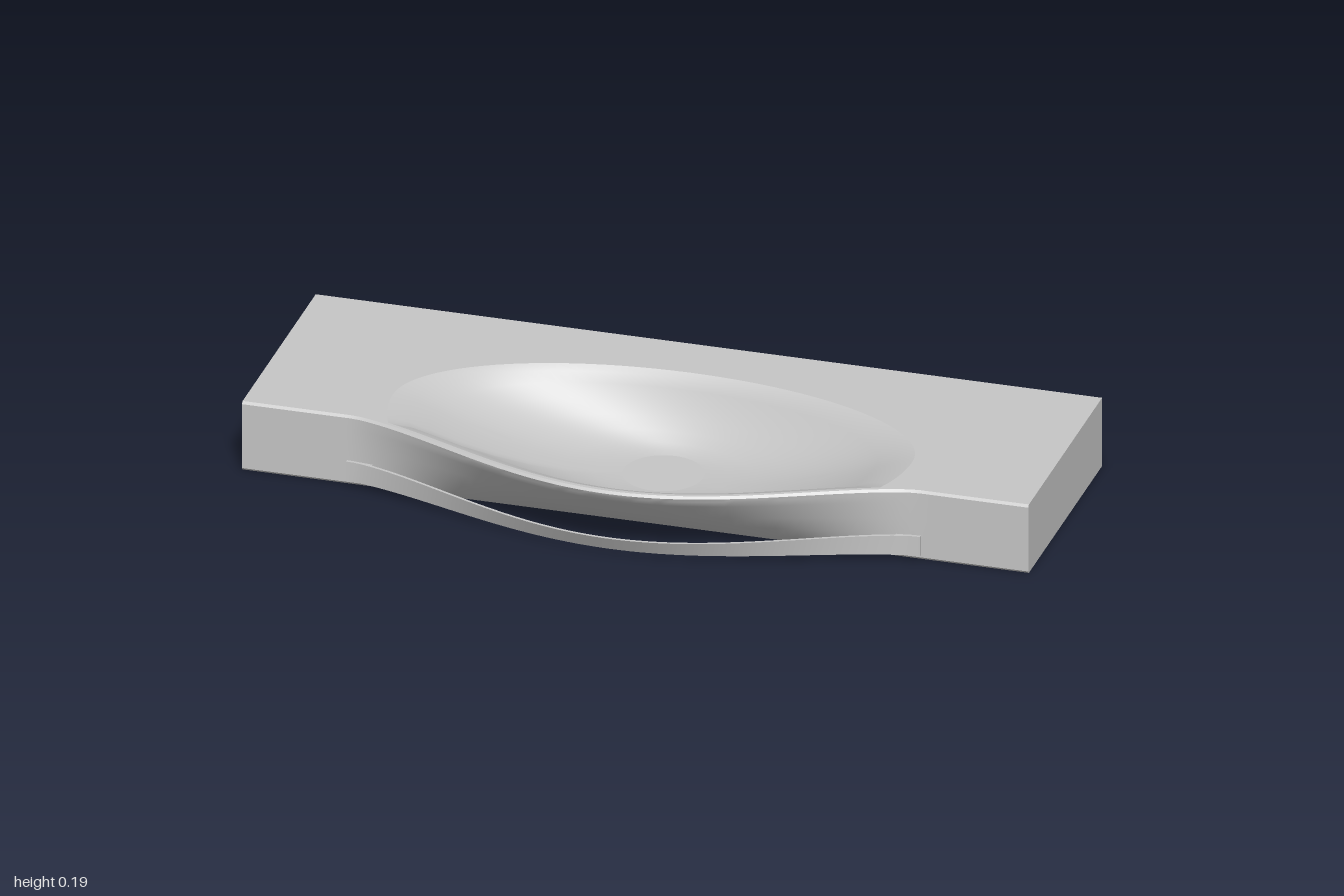
import * as THREE from 'three';
import { toCreasedNormals } from 'three/addons/utils/BufferGeometryUtils.js';

const H = 0.185, BACK = -0.425, FRONT = 0.2;

// 0..1 swell of the front edge across the width
const swell = (x) => (Math.abs(x) >= 0.72 ? 0 : Math.pow((1 + Math.cos((Math.PI * x) / 0.72)) / 2, 0.7));
const frontZ = (x) => FRONT + 0.222 * swell(x);

// Surface through a grid of points; the normal points along di x dj
function grid(ni, nj, point, crease = 0.6) {
  const pos = [], index = [];
  for (let i = 0; i <= ni; i++) for (let j = 0; j <= nj; j++) pos.push(...point(i, j));
  for (let i = 0; i < ni; i++) {
    for (let j = 0; j < nj; j++) {
      const a = i * (nj + 1) + j, b = a + nj + 1;
      index.push(a, b, b + 1, a, b + 1, a + 1);
    }
  }
  const g = new THREE.BufferGeometry();
  g.setAttribute('position', new THREE.Float32BufferAttribute(pos, 3));
  g.setIndex(index);
  return toCreasedNormals(g, crease);
}

// Bowl rim: half ellipse at the back, following the front edge at the front
function rim(a) {
  const x = 0.66 * Math.cos(a), s = Math.sin(a);
  const z = s >= 0 ? 0.05 - 0.32 * s : Math.min(0.05 - 0.5 * s, frontZ(x) - 0.016);
  return [x, z];
}

export function createModel() {
  const group = new THREE.Group();
  const ceramic = new THREE.MeshStandardMaterial({ color: 0xc6c6c6 });
  ceramic.name = 'grey ceramic';
  const add = (name, geometry) => {
    const mesh = new THREE.Mesh(geometry, ceramic);
    mesh.name = name;
    group.add(mesh);
    return mesh;
  };

  // Back, underside and swelling front: [y, swell share, inset]
  const profile = [
    [0, 0, 0.005], [0.006, 0.03, 0], [0.03, 0.23, 0], [0.063, 0.455, 0], [0.105, 0.7, 0],
    [0.15, 0.89, 0], [0.17, 0.985, 0], [0.179, 1, 0], [H, 1, 0.006],
  ];
  const N = 80;
  const xAt = (i) => -1 + (2 * i) / N;
  add('basinBody', grid(N, profile.length + 1, (i, j) => {
    const x = xAt(i);
    if (j < 2) return [x, j === 0 ? H : 0, BACK];
    const [y, share, inset] = profile[j - 2];
    return [x, y, FRONT + (frontZ(x) - FRONT) * share - inset];
  }));

  // Flat ends of the slab
  for (const side of [-1, 1]) {
    const end = add(side > 0 ? 'leftEnd' : 'rightEnd', new THREE.PlaneGeometry(FRONT - BACK, H));
    end.rotation.y = (side * Math.PI) / 2;
    end.position.set(side, H / 2, (FRONT + BACK) / 2);
  }

  // Countertop with the bowl cut out
  const M = 96;
  const outline = [new THREE.Vector2(-1, -BACK), new THREE.Vector2(1, -BACK)];
  for (let i = N; i >= 0; i--) outline.push(new THREE.Vector2(xAt(i), -(frontZ(xAt(i)) - 0.006)));
  const top = new THREE.Shape(outline);
  const hole = [];
  for (let j = 0; j < M; j++) {
    const [x, z] = rim((j / M) * Math.PI * 2);
    hole.push(new THREE.Vector2(x, -z));
  }
  top.holes.push(new THREE.Path(hole));
  const counter = add('countertop', new THREE.ShapeGeometry(top));
  counter.rotation.x = -Math.PI / 2;
  counter.position.y = H;

  // Bowl lofted from the round floor out to the rim: [share, y]
  const bowl = [
    [0, 0.02], [0.12, 0.025], [0.25, 0.037], [0.4, 0.058], [0.55, 0.085],
    [0.7, 0.117], [0.82, 0.148], [0.91, 0.172], [1, H],
  ];
  add('bowl', grid(bowl.length - 1, M, (i, j) => {
    const a = ((j % M) / M) * Math.PI * 2, [t, y] = bowl[i], [rx, rz] = rim(a);
    return [
      THREE.MathUtils.lerp(0.1 * Math.cos(a), rx, t), y,
      THREE.MathUtils.lerp(-0.04 - 0.1 * Math.sin(a), rz, t),
    ];
  }, 0.8));
  const floor = add('bowlFloor', new THREE.CircleGeometry(0.1, M));
  floor.rotation.x = -Math.PI / 2;
  floor.position.set(0, 0.02, -0.04);

  // Thin towel rail bowed out below the front edge, closed at both ends
  const R = 64, T = 0.008;
  add('towelRail', grid(R + 2, 4, (i, j) => {
    const k = THREE.MathUtils.clamp(i - 1, 0, R);
    const x = -0.73 + (1.46 * k) / R, s = swell(x);
    const yTop = 0.07 - 0.015 * s;
    if (i === 0 || i === R + 2) return [x, 0.0435, 0.214];
    const upper = j === 1 || j === 2, rear = j === 2 || j === 3;
    return [x, upper ? yTop : 0.017, 0.218 + (upper ? 0.198 : 0.176) * s - (rear ? T : 0)];
  }));

  // Small mounts joining the rail to the slab
  for (const side of [-1, 1]) {
    const mount = add('railMount', new THREE.BoxGeometry(0.05, 0.04, 0.02));
    mount.position.set(side * 0.69, 0.044, 0.203);
  }
  return group;
}
